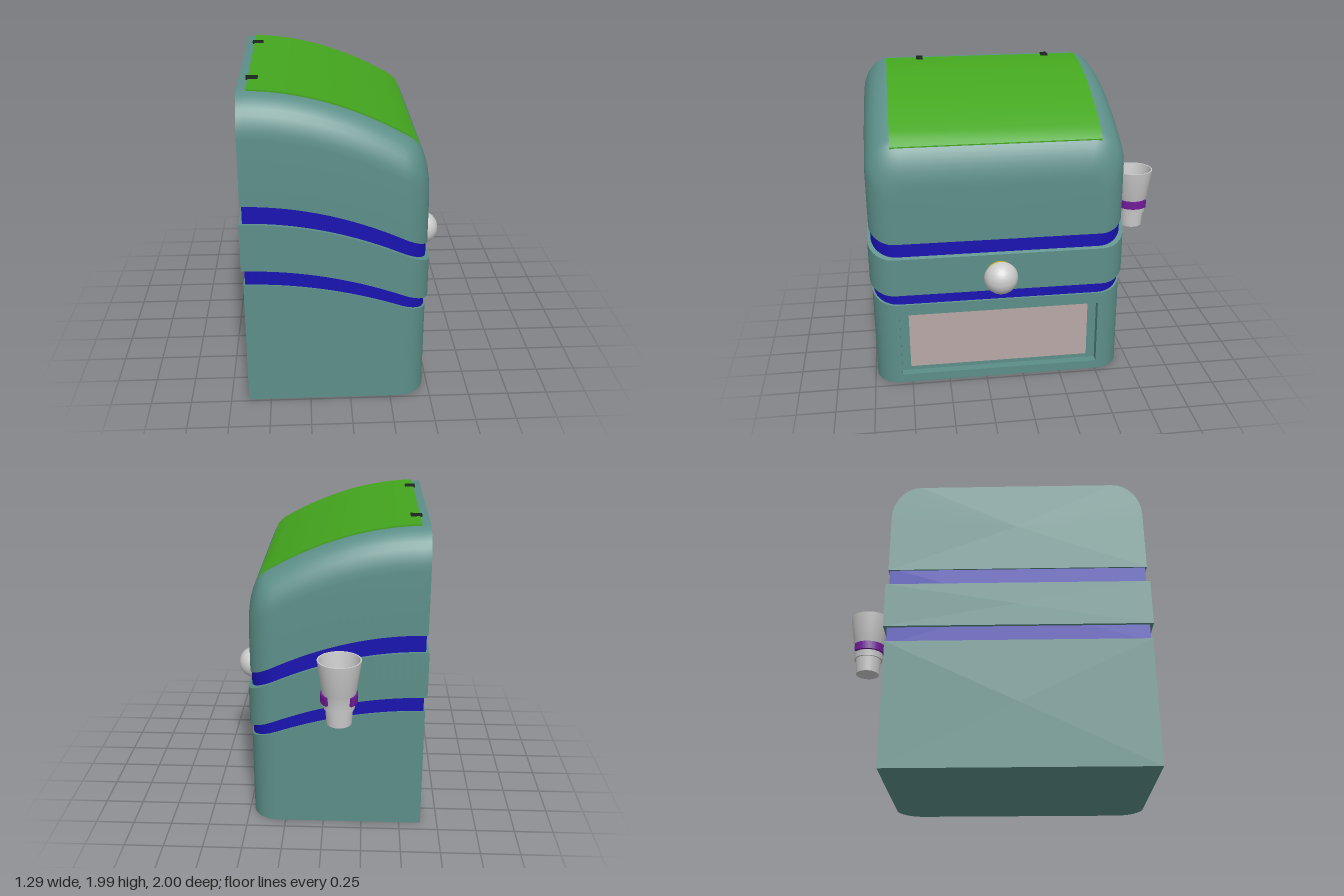
import * as THREE from 'three';
import { toCreasedNormals } from 'three/addons/utils/BufferGeometryUtils.js';

const BACK = -0.64, FRONT = 0.47, HALF = 0.83, MID_Z = 0.155;
const TEAL = 0x5c8e88, BLUE = 0x1812b0, GREEN = 0x44a61e, GREY = 0xcccccc;
const PURPLE = 0x701a98, YELLOW = 0xc0ac22, PINK = 0xb8a8a5, BLACK = 0x18241a;

// Curve that falls away towards the front
const fall = (y, k) => x => y - k * (x - BACK) ** 2;

// Roof line: gentle fall, then a rounded shoulder at the front
function roof(x) {
  const t = THREE.MathUtils.clamp((x - 0.36) / 0.11, 0, 1);
  return fall(1.97, 0.296)(x) - 0.22 * (1 - Math.sqrt(1 - t * t));
}

// Solid swept along x: rounded front corners in plan, optional rounded top edges
function loft({ x0 = BACK, x1 = FRONT, half = HALF, corner = 0.165, bottom, top, round = 0, frontCap = true }) {
  const stations = [];
  for (let i = 0; i <= 20; i++) stations.push([x0 + (x1 - corner - x0) * i / 20, 0]);
  if (corner) for (let i = 1; i <= 12; i++) {
    const a = i / 12 * Math.PI / 2;
    stations.push([x1 - corner + corner * Math.sin(a), corner * (1 - Math.cos(a))]);
  }
  const n = round ? 8 : 0;
  const rings = stations.map(([x, inset]) => {
    const w = half - inset, b = bottom(x), h = top(x);
    const rz = round ? round - 0.6 * inset : 0, ry = rz * 1.25;
    const right = [[-w, b]];
    for (let i = 0; i <= n; i++) {
      const a = n ? i / n * Math.PI / 2 : 0;
      right.push([-w + rz * (1 - Math.cos(a)), h - ry * (1 - Math.sin(a))]);
    }
    const left = right.map(([z, y]) => [-z, y]).reverse();
    return [...right, ...left].map(([z, y]) => [x, y, z + MID_Z]);
  });
  const pos = [], tri = (a, b, c) => pos.push(...a, ...b, ...c);
  const m = rings[0].length, last = rings.length - 1;
  const centre = r => [r[0][0], (r[0][1] + r[m / 2][1]) / 2, MID_Z];
  for (let i = 0; i < m; i++) {
    const k = (i + 1) % m;
    for (let j = 0; j < last; j++) {
      const p = rings[j], q = rings[j + 1];
      tri(p[i], p[k], q[i]);
      tri(p[k], q[k], q[i]);
    }
    tri(centre(rings[0]), rings[0][k], rings[0][i]);
    if (frontCap) tri(centre(rings[last]), rings[last][i], rings[last][k]);
  }
  const geo = new THREE.BufferGeometry();
  geo.setAttribute('position', new THREE.Float32BufferAttribute(pos, 3));
  return toCreasedNormals(geo, 0.6);
}

function rect(path, x0, y0, x1, y1) {
  path.moveTo(x0, y0).lineTo(x1, y0).lineTo(x1, y1).lineTo(x0, y1).closePath();
  return path;
}

export function createModel() {
  const model = new THREE.Group();
  const add = (name, geo, color, x = 0, y = 0, z = 0, side = THREE.FrontSide) => {
    const mesh = new THREE.Mesh(geo, new THREE.MeshStandardMaterial({ color, side }));
    mesh.name = name;
    mesh.position.set(x, y, z);
    model.add(mesh);
    return mesh;
  };

  // Body sections, with the blue core showing in the two grooves
  add('lowerBody', loft({ bottom: () => 0, top: fall(0.82, 0.19), frontCap: false }), TEAL);
  add('grooveCore', loft({
    x0: BACK + 0.01, x1: FRONT - 0.008, half: HALF - 0.01,
    bottom: fall(0.8, 0.19), top: fall(1.35, 0.252),
  }), BLUE);
  add('middleBand', loft({
    x0: BACK - 0.01, x1: FRONT + 0.012, half: HALF + 0.012,
    bottom: fall(0.92, 0.205), top: fall(1.22, 0.24),
  }), TEAL);
  add('upperBody', loft({ bottom: fall(1.33, 0.252), top: roof, round: 0.19 }), TEAL);

  // Lid panel following the roof, with two hinges
  add('lidPanel', loft({
    x0: -0.585, x1: 0.4, half: 0.665, corner: 0,
    bottom: x => roof(x) - 0.03, top: x => roof(x) + 0.007,
  }), GREEN);
  for (const z of [-0.29, 0.59])
    add('hinge', new THREE.BoxGeometry(0.07, 0.03, 0.045), BLACK, -0.562, 1.971, z);

  // Front face with recessed window
  const face = rect(new THREE.Shape(), -0.665, 0, 0.665, 0.586);
  face.holes.push(rect(new THREE.Path(), -0.662, 0.06, 0.662, 0.51));
  const faceGeo = new THREE.ExtrudeGeometry(face, { depth: 0.06, bevelEnabled: false });
  faceGeo.rotateY(Math.PI / 2);
  add('windowFrame', faceGeo, TEAL, FRONT - 0.06, 0, MID_Z);
  add('windowBack', new THREE.BoxGeometry(0.02, 0.47, 1.33), TEAL, FRONT - 0.065, 0.285, MID_Z);
  add('windowPane', new THREE.BoxGeometry(0.02, 0.4, 1.205), PINK, FRONT - 0.06, 0.29, MID_Z);

  // Push button: collar and dome
  const collar = new THREE.CylinderGeometry(0.092, 0.092, 0.08, 32).rotateZ(-Math.PI / 2);
  add('buttonCollar', collar, YELLOW, 0.5, 0.78, MID_Z);
  const domePoints = [new THREE.Vector2(0, 0), new THREE.Vector2(0.11, 0)];
  for (let i = 0; i <= 16; i++) {
    const a = i / 16 * Math.PI / 2;
    domePoints.push(new THREE.Vector2(0.11 * Math.cos(a), 0.106 * Math.sin(a)));
  }
  const dome = toCreasedNormals(new THREE.LatheGeometry(domePoints, 40).rotateZ(-Math.PI / 2), 0.6);
  add('buttonDome', dome, GREY, 0.535, 0.78, MID_Z);

  // Stepped open cup
  const cupProfile = [
    [0, 0.83], [0.077, 0.83], [0.085, 0.935], [0.095, 0.935], [0.101, 1.03], [0.105, 1.04],
    [0.134, 1.245], [0.125, 1.245], [0.095, 1.04], [0.088, 0.95], [0.076, 0.945], [0.065, 0.85], [0, 0.85],
  ].map(([r, y]) => new THREE.Vector2(r, y));
  const cup = toCreasedNormals(new THREE.LatheGeometry(cupProfile, 40), 0.5);
  add('cup', cup, GREY, -0.107, 0, -0.865, THREE.DoubleSide);

  // Holder: C-shaped clip open away from the body, and its arm
  const gap = 0.72, mid = Math.PI / 2;
  const clip = new THREE.Shape();
  clip.absarc(0, 0, 0.114, mid + gap, mid - gap + Math.PI * 2, false);
  clip.absarc(0, 0, 0.098, mid - gap + Math.PI * 2, mid + gap, true);
  const clipGeo = new THREE.ExtrudeGeometry(clip, { depth: 0.055, bevelEnabled: false, curveSegments: 32 });
  clipGeo.rotateX(-Math.PI / 2);
  add('cupClip', toCreasedNormals(clipGeo, 0.5), PURPLE, -0.107, 0.977, -0.865);
  add('cupArm', new THREE.BoxGeometry(0.052, 0.03, 0.1), PURPLE, -0.107, 1.005, -0.715);

  return model;
}
